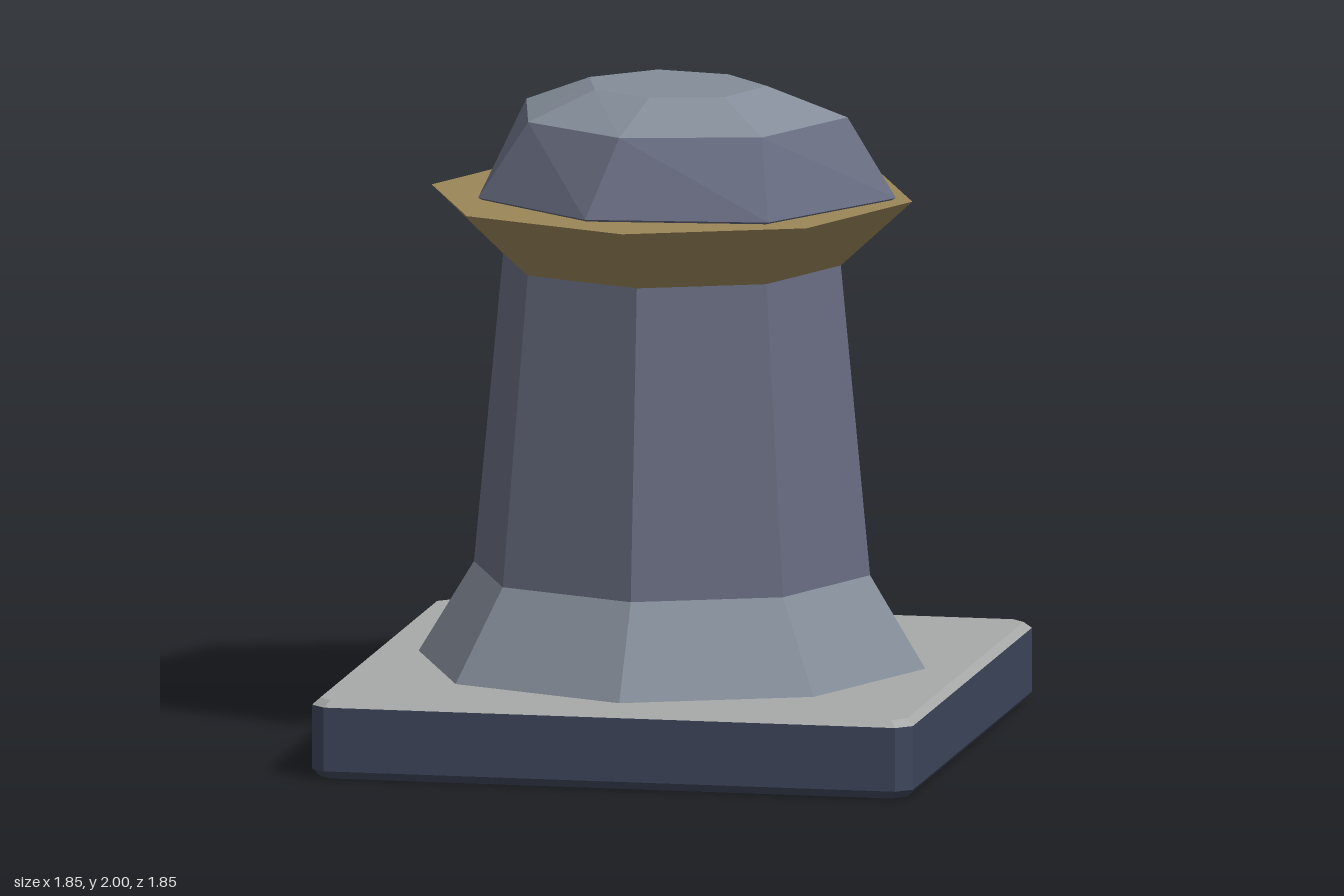
import * as THREE from 'three';

const paint = (color) => new THREE.MeshStandardMaterial({ color, flatShading: true });

// Skins a stack of rings [y, [[x, z], ...]], ordered from +x towards +z, with optional end caps
function loft(rings, capBottom, capTop) {
  const pos = [];
  const put = (...pts) => pts.forEach((p) => pos.push(...p));
  const loops = rings.map(([y, pts]) => pts.map(([x, z]) => [x, y, z]));
  const n = loops[0].length;
  for (let i = 0; i < n; i++) {
    const j = (i + 1) % n;
    for (let k = 0; k < loops.length - 1; k++) {
      const lo = loops[k], hi = loops[k + 1];
      put(lo[i], hi[i], hi[j], lo[i], hi[j], lo[j]);
    }
    const first = loops[0], last = loops[loops.length - 1];
    if (capBottom) put([0, first[0][1], 0], first[i], first[j]);
    if (capTop) put([0, last[0][1], 0], last[j], last[i]);
  }
  const g = new THREE.BufferGeometry();
  g.setAttribute('position', new THREE.Float32BufferAttribute(pos, 3));
  g.computeVertexNormals();
  return g;
}

// Square outline with cut corners
const cutSquare = (h, c) => [
  [h, -h + c], [h, h - c], [h - c, h], [-h + c, h],
  [-h, h - c], [-h, -h + c], [-h + c, -h], [h - c, -h],
];

export function createModel() {
  const model = new THREE.Group();
  const paleStone = paint(0x848d99), darkStone = paint(0x666b7f);
  const navy = paint(0x3d465a), gold = paint(0x9c8658), grey = paint(0xa7a9a9);

  const add = (name, geometry, material) => {
    const mesh = new THREE.Mesh(geometry, material);
    mesh.name = name;
    model.add(mesh);
  };
  // Eight-sided tapered section between two heights
  const section = (name, y0, y1, r0, r1, material, open) => {
    const g = new THREE.CylinderGeometry(r1, r0, y1 - y0, 8, 1, open);
    add(name, g.translate(0, (y0 + y1) / 2, 0), material);
  };

  // Bevelled square plinth with a pale top
  const wide = cutSquare(0.925, 0.045), inset = cutSquare(0.903, 0.04);
  add('plinth', loft([[0, inset], [0.025, wide], [0.22, wide]], true, false), navy);
  add('plinthTop', loft([[0.22, wide], [0.24, inset]], false, true), grey);

  // Octagonal column: flared foot, shaft and collar
  section('foot', 0.24, 0.52, 0.78, 0.61, paleStone, true);
  section('shaft', 0.52, 1.465, 0.61, 0.52, darkStone, true);
  section('collar', 1.465, 1.668, 0.52, 0.74, gold, false);

  // Irregular seven-sided boulder on top, paler above its shoulder
  const base = [[0.69, 0], [0.40, 0.50], [-0.15, 0.565], [-0.545, 0.25], [-0.605, -0.27], [-0.15, -0.615], [0.38, -0.445]];
  const shoulder = [[0.53, -0.05], [0.35, 0.35], [-0.07, 0.445], [-0.395, 0.23], [-0.485, -0.175], [-0.165, -0.46], [0.25, -0.365]];
  const crown = [[0.285, -0.035], [0.20, 0.185], [-0.02, 0.24], [-0.21, 0.135], [-0.27, -0.08], [-0.095, -0.25], [0.13, -0.21]];
  const under = base.map(([x, z]) => [x * 0.98, z * 0.98]);
  add('capStoneSides', loft([[1.67, under], [1.677, base], [1.91, shoulder]], true, false), darkStone);
  add('capStoneTop', loft([[1.91, shoulder], [2, crown]], false, true), paleStone);

  return model;
}
